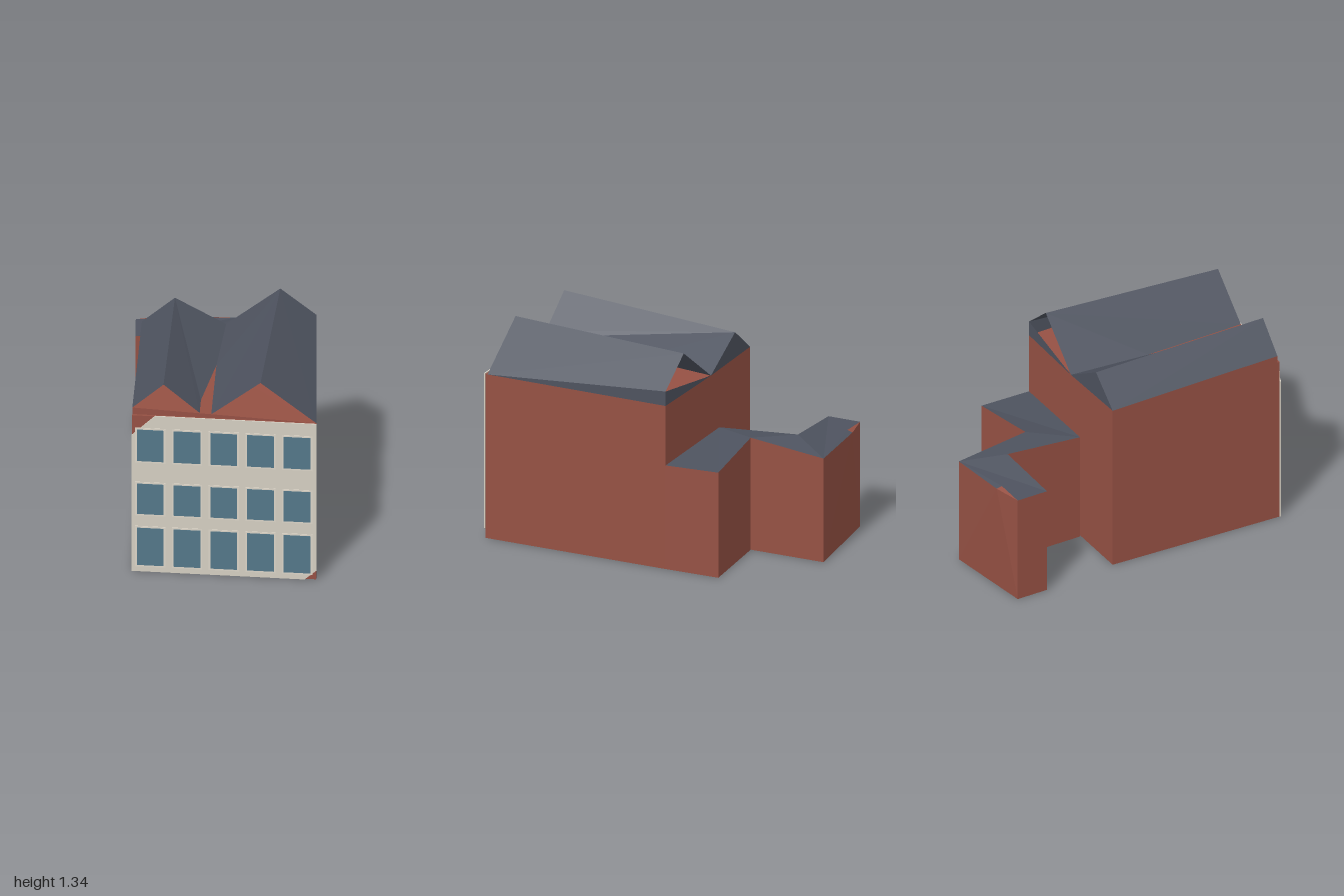
import * as THREE from 'three';

const mat = (name, color) => {
  const m = new THREE.MeshStandardMaterial({ color, side: THREE.DoubleSide });
  m.name = name;
  return m;
};

export function createModel() {
  const brick = mat('brick', 0x965144);
  const slate = mat('slate', 0x4e535f);
  const render = mat('render', 0xd6d0c3);
  const trim = mat('window trim', 0xddd6c8);
  const glass = mat('glass', 0x54788a);
  const model = new THREE.Group();
  model.name = 'building';

  const add = (name, geometry, material, parent = model) => {
    const mesh = new THREE.Mesh(geometry, material);
    mesh.name = name;
    parent.add(mesh);
    return mesh;
  };

  // Flat-shaded polygons, each split into a fan from its first corner
  const facets = (...polygons) => {
    const out = [];
    for (const p of polygons)
      for (let i = 1; i < p.length - 1; i++) out.push(...p[0], ...p[i], ...p[i + 1]);
    const g = new THREE.BufferGeometry();
    g.setAttribute('position', new THREE.Float32BufferAttribute(out, 3));
    g.computeVertexNormals();
    return g;
  };

  // Triangulated cap over a concave outline
  const cap = (pts) => {
    const outline = pts.map(([x, , z]) => new THREE.Vector2(x, -z));
    return THREE.ShapeUtils.triangulateShape(outline, []).map((t) => t.map((i) => pts[i]));
  };
  const ground = ([x, , z]) => [x, 0, z];
  const walls = (pts) => pts.map((p, i) => {
    const q = pts[(i + 1) % pts.length];
    return [ground(p), ground(q), q, p];
  });

  // Main block: top corners, counter-clockwise from above
  const BL = [-0.54, 1.07, -0.205], FL = [-0.48, 1.12, 0.95];
  const FR = [0.64, 1.075, 0.95], BR = [0.52, 1.07, -0.225];
  const block = [BL, FL, FR, BR];
  add('mainWalls', facets(...walls(block), block.map(ground).reverse(), block), brick);

  // Twin pitched roofs with open gables, meeting in a valley
  const valley = [-0.03, 1.07, -0.225];
  const ridgeLB = [-0.34, 1.24, -0.215], ridgeLF = [-0.29, 1.29, 0.95];
  const ridgeRB = [0.3, 1.335, -0.225], ridgeRF = [0.3, 1.335, 0.95];
  const eaveRB = [0.52, 1.165, -0.225];
  add('leftRoof', facets(
    [BL, FL, ridgeLF, ridgeLB],
    [ridgeLB, ridgeLF, [-0.07, 1.106, 0.95], [-0.08, 1.1, 0.78], [-0.035, 1.076, 0.3], valley],
    [BL, ridgeLB, valley],
  ), slate);
  add('rightRoof', facets(
    [ridgeRB, ridgeRF, FR, eaveRB],
    [ridgeRB, valley, [-0.035, 1.076, 0.3], [0, 1.1, 0.95], ridgeRF],
    [BR, valley, eaveRB],
    [FR, BR, eaveRB],
  ), slate);

  // Rear annex: crooked plan with a shallow roof rising to the inner corners
  const wingEnd = [-0.65, 0.685, -0.91];
  const annex = [
    [-0.14, 0.69, -0.22], [0.52, 0.68, -0.225], [0.48, 0.69, -0.57], [0, 0.735, -0.52],
    [-0.05, 0.68, -1], wingEnd, [-0.63, 0.685, -0.7], [-0.19, 0.733, -0.74],
  ];
  add('annexWalls', facets(...walls(annex), annex.map(ground) && [[0, 0, 0], [0, 0, 0], [0, 0, 0]],
    ...cap(annex.map(ground))), brick);
  add('annexRoof', facets(...cap(annex)), slate);

  // Bulging top of the annex end wall
  const bulge = [-0.47, 0.69, -0.96], back = annex[4];
  add('annexEndWall', facets(
    [ground(back), back, bulge, ground(wingEnd)],
    [bulge, wingEnd, ground(wingEnd)],
    [bulge, wingEnd, [-0.47, 0.7, -0.925]],
  ), brick);
  add('annexEndRoof', facets([back, bulge, [-0.47, 0.7, -0.925]]), slate);

  // Front facade: brick backing and a rendered skin with clipped corners
  const backing = add('facadeBacking', new THREE.BoxGeometry(1.12, 1.075, 0.016), brick);
  backing.position.set(0.08, 0.5375, 0.957);
  const skin = new THREE.Shape([
    [-0.483, 0], [0.57, 0], [0.643, 0.065], [0.643, 1.08], [-0.34, 1.08], [-0.483, 0.94],
  ].map(([x, y]) => new THREE.Vector2(x, y)));
  const facade = add('facade',
    new THREE.ExtrudeGeometry(skin, { depth: 0.008, bevelEnabled: false }), render);
  facade.position.z = 0.966;

  // Windows: five columns on three floors
  const windows = new THREE.Group();
  windows.name = 'windows';
  model.add(windows);
  for (const [low, high] of [[0.046, 0.304], [0.4, 0.61], [0.767, 0.985]]) {
    for (let c = 0; c < 5; c++) {
      const x = -0.368 + c * 0.2235, y = (low + high) / 2, h = high - low;
      add('windowFrame', new THREE.BoxGeometry(0.184, h + 0.022, 0.004), trim, windows)
        .position.set(x, y, 0.9755);
      add('windowGlass', new THREE.BoxGeometry(0.163, h, 0.004), glass, windows)
        .position.set(x, y, 0.9775);
    }
  }
  return model;
}
